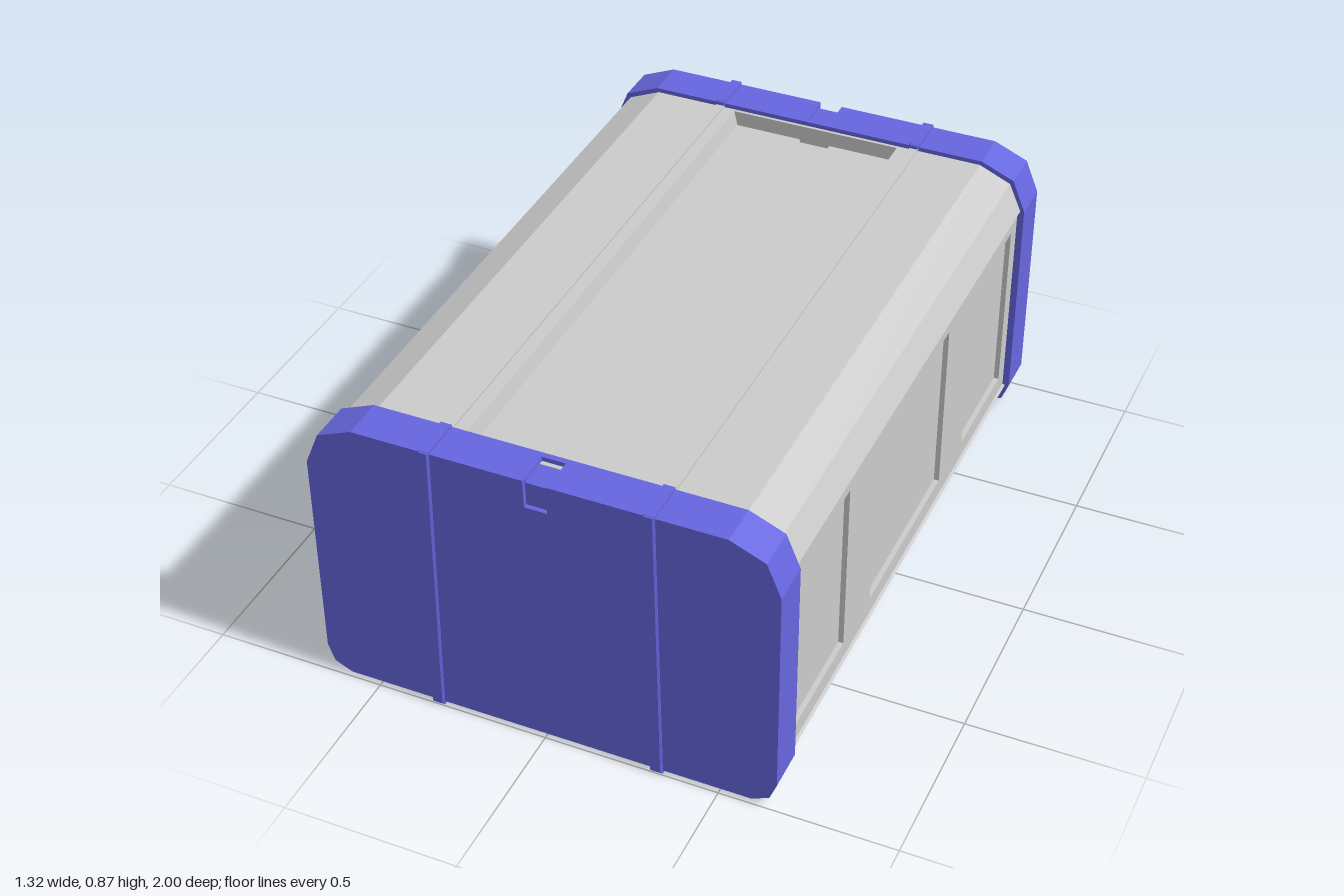
import * as THREE from 'three';

const grey = new THREE.MeshStandardMaterial({ color: 0xcccccc, flatShading: true });
const blue = new THREE.MeshStandardMaterial({ color: 0x6666e0, flatShading: true });

// Closed symmetric outline from its right half, listed bottom to top
function symmetricShape(half) {
  const left = half.map(([x, y]) => [-x, y]).reverse();
  return new THREE.Shape([...half, ...left].map(([x, y]) => new THREE.Vector2(x, y)));
}

// Extrusion of a shape between two depths
function slab(name, shape, z0, z1, material, bevel = 0) {
  const geo = new THREE.ExtrudeGeometry(shape, {
    depth: z1 - z0 - 2 * bevel, bevelEnabled: bevel > 0,
    bevelSize: bevel, bevelThickness: bevel, bevelOffset: -bevel, bevelSegments: 1,
  });
  geo.translate(0, 0, z0 + bevel);
  const mesh = new THREE.Mesh(geo, material);
  mesh.name = name;
  return mesh;
}

function rectangle(Type, x0, y0, x1, y1) {
  return new Type([[x0, y0], [x1, y0], [x1, y1], [x0, y1]].map(([x, y]) => new THREE.Vector2(x, y)));
}

function createBody() {
  const body = new THREE.Group();
  body.name = 'body';
  const flank = [
    [0.59, 0.02], [0.63, 0.04], [0.648, 0.085], [0.625, 0.09],
    [0.625, 0.715], [0.648, 0.72], [0.61, 0.805], [0.515, 0.846],
  ];
  // Main section with the top and bottom trays and the centre groove
  const section = [
    [0.25, 0.065], [0.26, 0.02], ...flank,
    [0.26, 0.846], [0.25, 0.8], [0.048, 0.8], [0.045, 0.79],
  ];
  body.add(slab('core', symmetricShape(section), -0.86, 0.86, grey));
  for (const s of [-1, 1]) {
    const z0 = s > 0 ? 0.86 : -0.9;
    body.add(slab('trayEnd', symmetricShape(flank), z0, z0 + 0.04, grey));

    // Side wall with three sunken panels
    const wall = rectangle(THREE.Shape, -0.87, 0.088, 0.87, 0.717);
    for (const [a, b] of [[-0.82, -0.48], [-0.28, 0.28], [0.48, 0.82]]) {
      wall.holes.push(rectangle(THREE.Path, a, 0.14, b, 0.67));
    }
    const side = slab('sidePanelWall', wall, 0.62, 0.64, grey);
    side.rotation.y = s * Math.PI / 2;
    body.add(side);

    // Long rib running along the top and bottom
    const rib = new THREE.Mesh(new THREE.BoxGeometry(0.026, 0.837, 1.74), grey);
    rib.position.set(s * 0.31, 0.4335, 0);
    rib.name = 'longRib';
    body.add(rib);
  }
  return body;
}

function createEndCap() {
  const cap = new THREE.Group();
  const outline = [
    [0.59, 0.01], [0.64, 0.033], [0.66, 0.085], [0.66, 0.72], [0.62, 0.817], [0.52, 0.859],
  ];
  const notched = (y) => symmetricShape([...outline, [0.034, 0.859], [0.032, y]]);
  // Three layers leave a latch notch that wraps over the top edge
  cap.add(slab('capInner', symmetricShape(outline), 0.87, 0.887, blue));
  cap.add(slab('capMiddle', notched(0.845), 0.887, 0.98, blue));
  cap.add(slab('capFace', notched(0.776), 0.98, 0.993, blue));

  // Slightly tapering straps
  for (const s of [-1, 1]) {
    const pts = [[0.304, 0], [0.34, 0], [0.326, 0.867], [0.294, 0.867]];
    const shape = new THREE.Shape(pts.map(([x, y]) => new THREE.Vector2(s * x, y)));
    cap.add(slab('strap', shape, 0.866, 1, blue, 0.005));
  }
  return cap;
}

export function createModel() {
  const model = new THREE.Group();
  model.name = 'crate';
  model.add(createBody());
  const front = createEndCap();
  front.name = 'frontCap';
  const back = createEndCap();
  back.name = 'backCap';
  back.rotation.y = Math.PI;
  model.add(front, back);
  return model;
}
